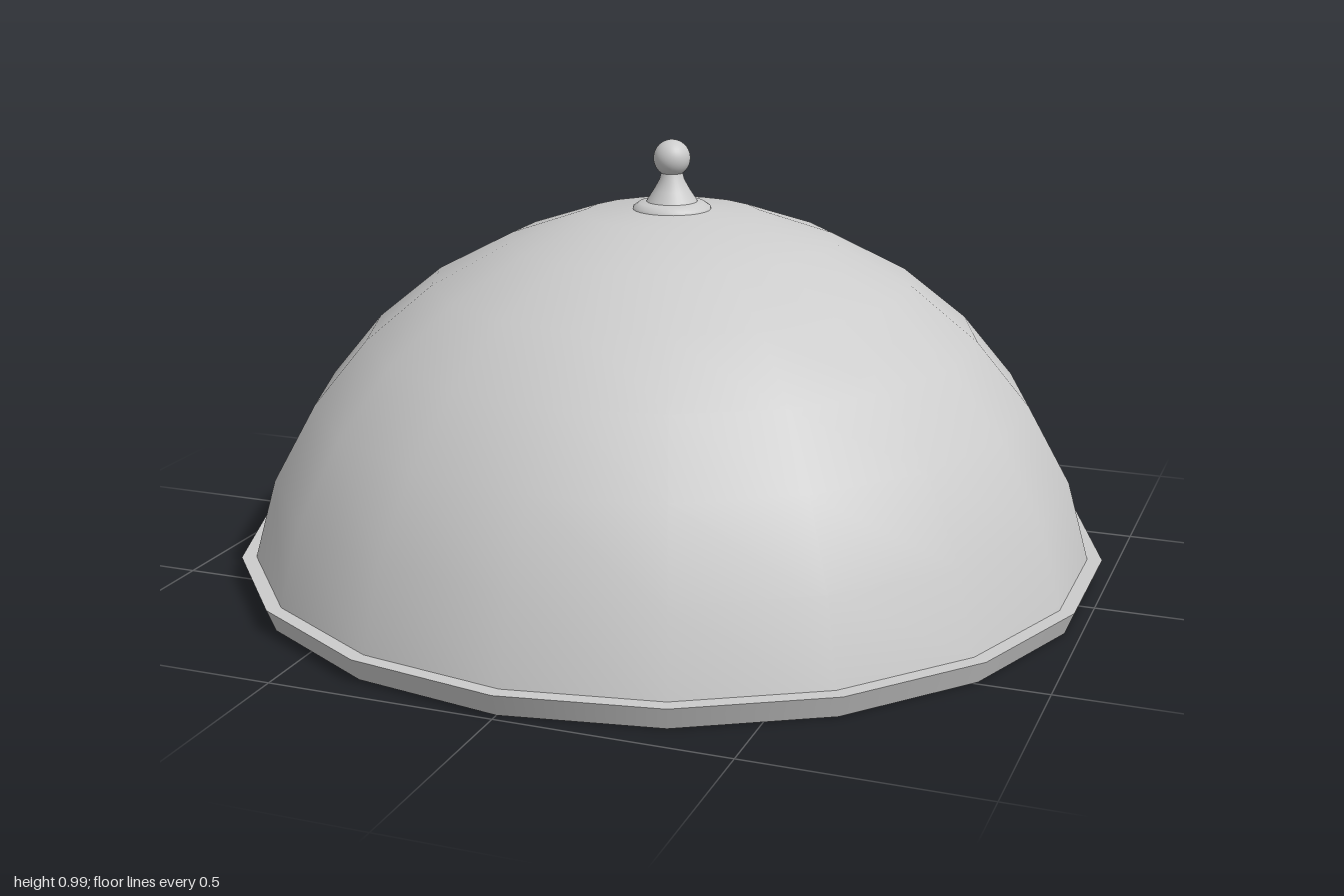
import * as THREE from 'three';

const material = new THREE.MeshStandardMaterial({ color: 0xcccccc });

// Revolve a bottom-to-top profile of [radius, y] points
function turned(name, profile, sides) {
  const points = profile.map(([r, y]) => new THREE.Vector2(r, y));
  const mesh = new THREE.Mesh(new THREE.LatheGeometry(points, sides), material);
  mesh.name = name;
  return mesh;
}

export function createModel() {
  const group = new THREE.Group();
  group.name = 'domeCover';
  const SIDES = 18;

  // Faceted dome shell, smoothly shaded
  group.add(turned('dome', [
    [0.968, 0.045], [0.917, 0.23], [0.82, 0.405], [0.70, 0.55],
    [0.55, 0.672], [0.375, 0.763], [0.2, 0.823], [0, 0.84],
  ], SIDES));

  // Flared rim: outer wall, flat top ledge and closed underside
  group.add(turned('rimWall', [[0.98, 0], [1, 0.05]], SIDES));
  group.add(turned('rimLedge', [[1, 0.05], [0.96, 0.05]], SIDES));
  group.add(turned('underside', [[0, 0], [0.98, 0]], SIDES));

  // Handle: stepped collar, tapering stem and ball
  group.add(turned('handleCollar', [[0.09, 0.828], [0.088, 0.838], [0.075, 0.847], [0.055, 0.85]], 32));
  group.add(turned('handleStem', [
    [0.06, 0.846], [0.055, 0.855], [0.042, 0.875], [0.028, 0.9], [0.022, 0.925],
  ], 32));
  const ball = new THREE.Mesh(new THREE.SphereGeometry(0.042, 32, 20), material);
  ball.name = 'handleBall';
  ball.position.y = 0.948;
  group.add(ball);

  return group;
}
